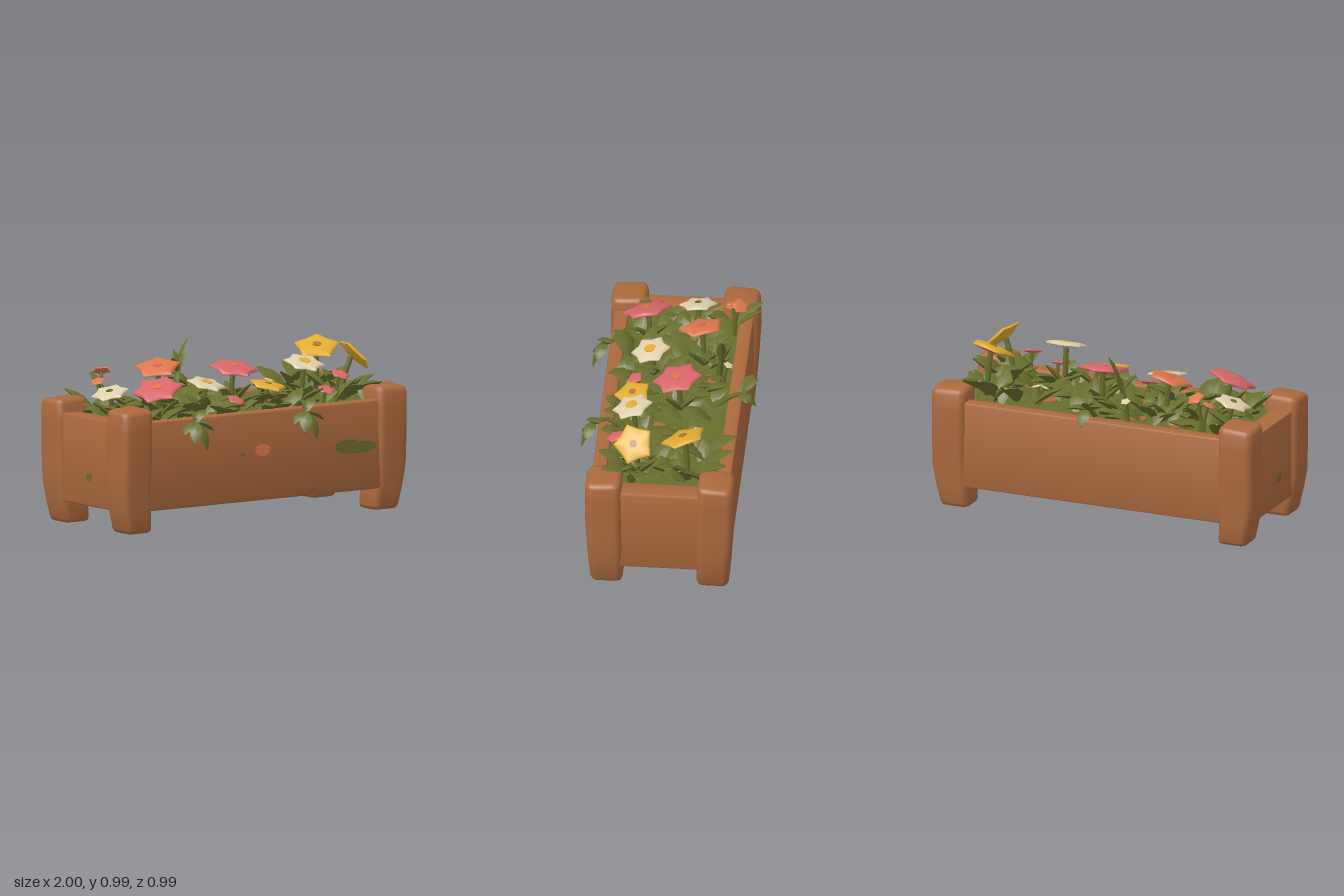
import * as THREE from 'three';
import { mergeGeometries, toCreasedNormals } from 'three/addons/utils/BufferGeometryUtils.js';

const mat = (name, color) => Object.assign(new THREE.MeshStandardMaterial({ color }), { name });
const V = (x, y, z) => new THREE.Vector3(x, y, z);

// Small seeded random generator
function seeded(s) {
  return () => (s = (s * 16807) % 2147483647) / 2147483647;
}

// Move every vertex of a geometry by a rule
function deform(geo, rule) {
  const p = geo.attributes.position, v = V(0, 0, 0);
  for (let i = 0; i < p.count; i++) {
    v.fromBufferAttribute(p, i);
    rule(v);
    p.setXYZ(i, v.x, v.y, v.z);
  }
  geo.computeVertexNormals();
  return geo;
}

function roundedRect(target, w, d, r) {
  const c = [[w - r, d - r, 0], [r - w, d - r, 1], [r - w, r - d, 2], [w - r, r - d, 3]];
  c.forEach(([x, y, q]) => target.absarc(x, y, r, q * Math.PI / 2, (q + 1) * Math.PI / 2, false));
  return target;
}

// Upright prism from y0 to y1, softened by a bevel
function prism(shape, y0, y1, bevel, steps) {
  const geo = new THREE.ExtrudeGeometry(shape, {
    depth: y1 - y0 - 2 * bevel, steps, curveSegments: 3,
    bevelThickness: bevel, bevelSize: bevel, bevelOffset: -bevel, bevelSegments: 2,
  });
  return geo.rotateX(-Math.PI / 2).translate(0, y0 + bevel, 0);
}

// Unit leaf along +y: diamond section, lightly folded and drooping at the tip
function unitLeaf() {
  const widths = [0.14, 0.4, 0.5, 0.39, 0.1];
  const geo = deform(new THREE.CylinderGeometry(1, 1, 1, 4, 4).translate(0, 0.5, 0), (v) => {
    const w = widths[Math.round(v.y * 4)];
    v.x *= w;
    v.z = v.z * w * 0.4 + Math.abs(v.x) * 0.15 + 0.6 * v.y * (1 - v.y);
  });
  return toCreasedNormals(geo, 0.6);
}

// Leaf running from a to b, its face turned upwards
function leaf(base, a, b, width) {
  const d = b.clone().sub(a), len = d.length();
  d.normalize();
  const side = d.clone().cross(V(0, 1, 0.01)).normalize();
  const m = new THREE.Matrix4().makeBasis(side, d, side.clone().cross(d));
  m.scale(V(width, len, width)).setPosition(a);
  return base.clone().applyMatrix4(m);
}

// Star-shaped lathe: a profile whose radius swings between petal tip and notch
function star(profile, petals) {
  const pts = profile.map(([x, y]) => new THREE.Vector2(x, y));
  return deform(new THREE.LatheGeometry(pts, petals * 2), (v) => {
    const r = Math.hypot(v.x, v.z), f = 0.88 + 0.12 * Math.cos(petals * Math.atan2(v.x, v.z));
    const k = r > 0.6 ? f : 1;
    v.x *= k;
    v.z *= k;
  });
}

export function createModel() {
  const root = new THREE.Group();
  root.name = 'flowerPlanter';
  const clay = mat('terracotta', 0xab693d), green = mat('leaf green', 0x686e2d);
  const pink = mat('pink', 0xd9666a), orange = mat('orange', 0xdd774c);
  const yellow = mat('yellow', 0xe2ac33), cream = mat('cream', 0xdfd0ac);
  const brown = mat('ochre brown', 0xad7638);
  const add = (name, geo, material, parent = root) => {
    const mesh = new THREE.Mesh(geo, material);
    mesh.name = name;
    parent.add(mesh);
    return mesh;
  };
  const stem = (points, r) =>
    new THREE.TubeGeometry(new THREE.CatmullRomCurve3(points), 6, r, 5).toNonIndexed();

  // Trough walls, floor and planting bed
  const wall = roundedRect(new THREE.Shape(), 0.97, 0.397, 0.05);
  wall.holes.push(roundedRect(new THREE.Path(), 0.845, 0.315, 0.03));
  const trough = prism(wall, 0.13, 0.64, 0.015, 1).translate(0, 0, -0.005);
  add('troughWalls', toCreasedNormals(trough, 0.6), clay);
  add('troughFloor', new THREE.BoxGeometry(1.72, 0.06, 0.66).translate(0, 0.162, 0), clay);
  add('plantingBed', new THREE.BoxGeometry(1.7, 0.04, 0.64).translate(0, 0.598, 0), green);

  // Corner posts, narrower and set inwards at the feet, sloping outwards on top
  for (const sx of [-1, 1]) for (const sz of [-1, 1]) {
    const geo = prism(roundedRect(new THREE.Shape(), 0.105, 0.1, 0.045), 0.005, 0.72, 0.025, 6);
    deform(geo, (v) => {
      const footX = Math.max(0, 1 - v.y / 0.22), footZ = Math.max(0, 1 - v.y / 0.5);
      if (v.y > 0.6) v.y -= 0.12 * Math.max(0, v.z * sz) + 0.1 * Math.max(0, v.x * sx);
      v.x = v.x * (1 - 0.17 * footX) - sx * 0.032 * footX;
      v.z = v.z * (1 - 0.1 * footZ + 0.06 * Math.sin(Math.PI * v.y / 0.72)) - sz * 0.018 * footZ;
    });
    geo.translate(sx * 0.893, 0, sz > 0 ? 0.312 : -0.327);
    add('cornerPost', toCreasedNormals(geo, 0.9), clay);
  }

  // Flat painted spots on the walls
  const spot = (x, y, z, w, h, turn, m) => {
    const s = add('paintedSpot', new THREE.CircleGeometry(1, 12), m);
    s.position.set(x, y, z);
    s.scale.set(w, h, 1);
    s.rotation.y = turn;
  };
  spot(-0.02, 0.42, 0.396, 0.055, 0.036, 0, orange);
  spot(0.58, 0.39, 0.396, 0.095, 0.04, 0, green);
  spot(0.67, 0.38, 0.397, 0.11, 0.034, 0, green);
  spot(-0.16, 0.405, 0.396, 0.018, 0.01, 0, green);
  spot(-0.973, 0.3, 0.03, 0.03, 0.025, -Math.PI / 2, green);

  // Bare patches in the bed
  for (const [x, z] of [[-0.45, -0.22], [0.4, -0.1], [0.28, 0.06], [-0.1, 0.1], [0.62, 0.05], [-0.2, -0.2]]) {
    add('barePatch', new THREE.CylinderGeometry(0.05, 0.05, 0.006, 7).translate(x, 0.62, z), clay);
  }

  // Low foliage filling the bed, sparser at the back right, some lying over the front rim
  const rnd = seeded(77), base = unitLeaf(), leaves = [];
  for (let i = 0; i < 17; i++) for (let j = 0; j < 7; j++) {
    const x = -0.78 + i * 0.0975 + (rnd() - 0.5) * 0.08;
    const z = -0.25 + j * 0.085 + (rnd() - 0.5) * 0.06;
    const az = rnd() * 6.283, len = 0.12 + 0.08 * rnd();
    const rise = 0.03 + 0.09 * rnd() + (x > 0.6 ? 0.05 : 0);
    const skip = rnd() < (x > 0.15 && x < 0.6 && z < 0.05 ? 0.6 : 0.1);
    if (skip) continue;
    const tx = THREE.MathUtils.clamp(x + len * Math.cos(az), -0.84, 0.87);
    const tz = THREE.MathUtils.clamp(z + len * Math.sin(az), -0.3, 0.37);
    const ty = Math.max(0.61 + rise, tz > 0.29 ? 0.66 : 0);
    leaves.push(leaf(base, V(x, 0.61, z), V(tx, ty, tz), 0.08 + 0.03 * rnd()));
  }
  // Taller single leaves: base x, y, z, tip x, y, z, width
  [
    [-0.13, 0.8, -0.27, -0.05, 0.99, -0.28, 0.055], [-0.13, 0.78, -0.27, -0.12, 0.92, -0.33, 0.05],
    [-0.16, 0.62, -0.26, -0.13, 0.84, -0.27, 0.04], [-0.14, 0.8, -0.27, -0.2, 0.89, -0.23, 0.05],
    [-0.62, 0.7, -0.32, -0.61, 0.82, -0.46, 0.06], [-0.72, 0.62, -0.28, -0.8, 0.74, -0.45, 0.09],
    [0.56, 0.62, -0.2, 0.53, 0.76, -0.41, 0.13], [0.7, 0.63, -0.2, 0.7, 0.78, -0.4, 0.12],
    [0.75, 0.63, -0.15, 0.82, 0.76, -0.37, 0.12], [0.78, 0.64, 0.1, 0.95, 0.74, 0.12, 0.11],
    [0.76, 0.64, 0.15, 0.86, 0.73, 0.33, 0.11], [0.74, 0.65, 0, 0.9, 0.78, -0.04, 0.12],
    [0.7, 0.64, 0.05, 0.6, 0.76, -0.05, 0.1], [0.72, 0.64, 0.2, 0.68, 0.73, 0.36, 0.1],
    [-0.72, 0.64, 0.1, -0.78, 0.72, 0.25, 0.1], [-0.3, 0.63, -0.2, -0.26, 0.74, -0.32, 0.1],
  ].forEach(([a, b, c, d, e, f, w]) => leaves.push(leaf(base, V(a, b, c), V(d, e, f), w)));
  add('foliage', mergeGeometries(leaves), green);

  // Trailing sprigs hanging over the rim
  const sprig = (name, path, tips) => {
    const end = path[path.length - 1];
    const parts = [stem(path, 0.013), ...tips.map((t) => leaf(base, end, t, 0.075))];
    add(name, mergeGeometries(parts), green);
  };
  for (const x of [-0.5, 0.27]) {
    sprig('frontSprig', [V(x + 0.02, 0.61, 0.25), V(x + 0.02, 0.67, 0.35), V(x, 0.62, 0.42)], [
      V(x - 0.11, 0.56, 0.45), V(x + 0.09, 0.57, 0.46), V(x + 0.02, 0.47, 0.49), V(x - 0.05, 0.51, 0.48),
      V(x + 0.08, 0.68, 0.38),
    ]);
  }
  sprig('backSprig', [V(0.04, 0.61, -0.25), V(0.04, 0.69, -0.35), V(0.03, 0.7, -0.4)],
    [V(-0.09, 0.75, -0.46), V(0.13, 0.71, -0.44), V(0.03, 0.62, -0.48), V(-0.02, 0.77, -0.49)]);

  // Flowers: x, y, z, radius, tilt x, tilt z, petals, top, underside, centre
  const under = [[0, -0.16], [0.5, -0.13], [0.98, -0.04]];
  const upper = [[0.98, -0.04], [1, 0.03], [0.85, 0.1], [0.4, 0.14], [0, 0.13]];
  const flower = (x, y, z, r, nx, nz, petals, top, below, middle) => {
    const g = new THREE.Group();
    g.name = 'flower';
    add('petalsTop', star(upper, petals), top, g);
    add('petalsUnderside', star(under, petals), below, g);
    const c = middle === yellow ? 0.3 : 0.19;
    if (middle) add('flowerCentre', new THREE.CylinderGeometry(c, c, 0.06, 7).translate(0, 0.13, 0), middle, g);
    g.scale.setScalar(r);
    g.position.set(x, y, z);
    g.quaternion.setFromUnitVectors(V(0, 1, 0), V(nx, 1, nz).normalize());
    root.add(g);
    const foot = V(x - nx * 0.07, 0.6, z - nz * 0.07), neck = V(x - nx * 0.02, y - r * 0.12, z - nz * 0.02);
    const parts = [stem([foot, V(x - nx * 0.06, (y + 0.6) / 2, z - nz * 0.06), neck], r > 0.1 ? 0.016 : 0.011)];
    // Rosette of leaves around the larger stems
    if (r > 0.1) for (let k = 0; k < 3; k++) {
      const a = x * 9 + k * 2.1;
      const tip = V(foot.x + 0.11 * Math.cos(a), Math.min(0.74, y - 0.06), foot.z + 0.11 * Math.sin(a));
      parts.push(leaf(base, foot, tip, 0.08));
    }
    add('flowerStem', mergeGeometries(parts), green);
  };
  [
    [-0.61, 0.79, 0.19, 0.145, -0.35, 0.25, 6, pink, pink, orange],
    [-0.74, 0.75, -0.09, 0.11, -0.3, 0.1, 6, cream, cream, green],
    [-0.37, 0.86, -0.14, 0.135, -0.25, 0.2, 5, orange, orange, pink],
    [-0.23, 0.785, 0.14, 0.115, 0.1, 0.25, 6, cream, cream, yellow],
    [0.09, 0.83, -0.04, 0.145, 0, 0.22, 6, pink, pink, orange],
    [0.15, 0.755, 0.21, 0.11, 0.1, 0.2, 5, yellow, yellow, brown],
    [0.42, 0.86, 0.19, 0.12, 0, 0.3, 6, cream, cream, yellow],
    [0.74, 0.89, -0.13, 0.135, -0.25, 0.35, 5, yellow, pink, brown],
    [0.8, 0.875, 0.15, 0.12, 1.05, 0.25, 5, yellow, yellow, brown],
    // Small blossoms and buds
    [-0.08, 0.69, 0.22, 0.055, 0.1, 0.5, 5, pink, pink, null],
    [0.51, 0.71, 0.28, 0.055, 0, 0.4, 5, pink, pink, null],
    [0.65, 0.78, 0.22, 0.06, 0.1, 0.4, 5, pink, pink, orange],
    [-0.62, 0.84, -0.34, 0.055, 0.3, -0.5, 5, orange, orange, null],
    [-0.68, 0.79, -0.29, 0.045, -0.4, 0.2, 5, orange, orange, null],
    [-0.17, 0.75, -0.31, 0.03, 0, -0.4, 5, cream, cream, null],
    [0.44, 0.72, -0.18, 0.035, 0.3, 0.1, 5, cream, cream, null],
    [0.41, 0.7, -0.13, 0.03, -0.4, 0.3, 5, cream, cream, null],
  ].forEach((f) => flower(...f));

  return root;
}
